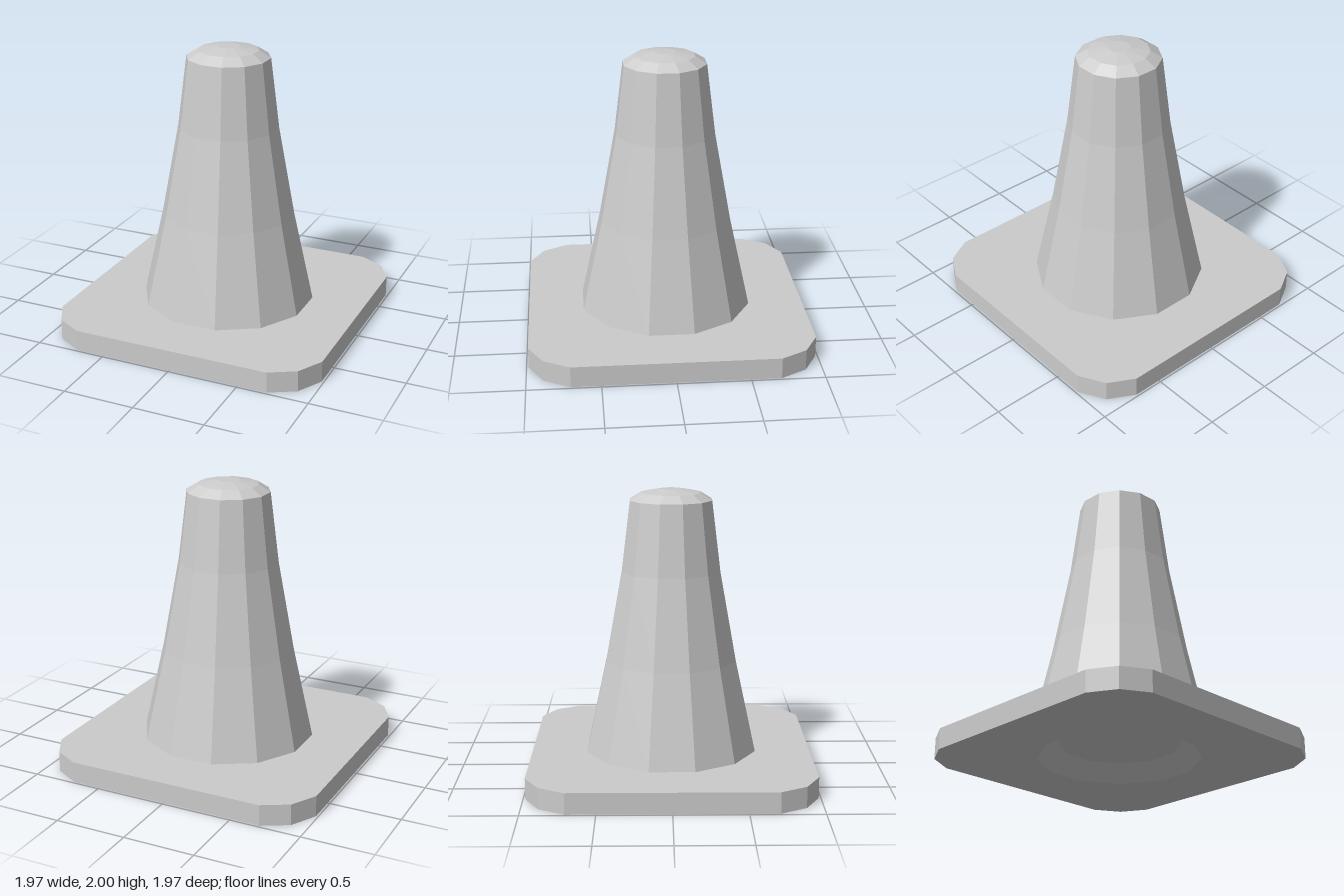
import * as THREE from 'three';

const SIDES = 12;
const BASE_TOP = 0.148;
const HOLE = 0.536; // flat-to-centre distance of the underside opening
const material = new THREE.MeshStandardMaterial({ color: 0xcccccc, flatShading: true });

function part(name, geometry) {
  const mesh = new THREE.Mesh(geometry, material);
  mesh.name = name;
  return mesh;
}

// Twelve-sided turned surface; radii are measured to the flats, a flat faces front
const toCorner = (r) => r / Math.cos(Math.PI / SIDES);
function turned(profile) {
  const points = profile.map(([r, y]) => new THREE.Vector2(toCorner(r), y));
  return new THREE.LatheGeometry(points, SIDES, Math.PI / SIDES);
}

// Square with corners cut by two facets, counter-clockwise
function baseOutline() {
  const corner = [[0.985, 0.705], [0.885, 0.885], [0.705, 0.985]];
  const points = [];
  for (let i = 0; i < 4; i++) {
    for (const [x, y] of corner) {
      points.push(new THREE.Vector2(x, y).rotateAround(new THREE.Vector2(), i * Math.PI / 2));
    }
  }
  return points;
}

// Upright wall around the outline
function wall(outline, height) {
  const positions = [];
  outline.forEach((a, i) => {
    const b = outline[(i + 1) % outline.length];
    // Plan y runs towards -z
    const a0 = [a.x, 0, -a.y], b0 = [b.x, 0, -b.y];
    const a1 = [a.x, height, -a.y], b1 = [b.x, height, -b.y];
    positions.push(...a0, ...b0, ...b1, ...a0, ...b1, ...a1);
  });
  const geometry = new THREE.BufferGeometry();
  geometry.setAttribute('position', new THREE.Float32BufferAttribute(positions, 3));
  geometry.computeVertexNormals();
  return geometry;
}

export function createModel() {
  const model = new THREE.Group();
  model.name = 'trafficCone';

  // Base plate: top, edge and underside with its opening
  const base = new THREE.Group();
  base.name = 'base';
  const outline = baseOutline();
  const top = new THREE.ShapeGeometry(new THREE.Shape(outline));
  top.rotateX(-Math.PI / 2).translate(0, BASE_TOP, 0);
  const underside = new THREE.Shape(outline);
  const opening = [];
  for (let i = 0; i < SIDES; i++) {
    const angle = (i + 0.5) * 2 * Math.PI / SIDES;
    opening.push(new THREE.Vector2(Math.cos(angle), Math.sin(angle)).multiplyScalar(toCorner(HOLE)));
  }
  underside.holes.push(new THREE.Path(opening));
  const bottom = new THREE.ShapeGeometry(underside).rotateX(Math.PI / 2);
  base.add(part('baseTop', top), part('baseEdge', wall(outline, BASE_TOP)), part('baseUnderside', bottom));

  // Shallow domed recess under the base
  base.add(part('recess', turned([[0, 0.17], [0.16, 0.17], [0.4, 0.105], [HOLE, 0]])));

  // Tapering body, flaring towards the base
  const body = part('coneBody', turned([[0.595, BASE_TOP], [0.455, 0.8], [0.343, 1.43], [0.283, 1.925]]));

  // Low domed cap
  const cap = part('cap', turned([[0.283, 1.925], [0.205, 1.975], [0.075, 2], [0, 2]]));

  model.add(base, body, cap);
  return model;
}
